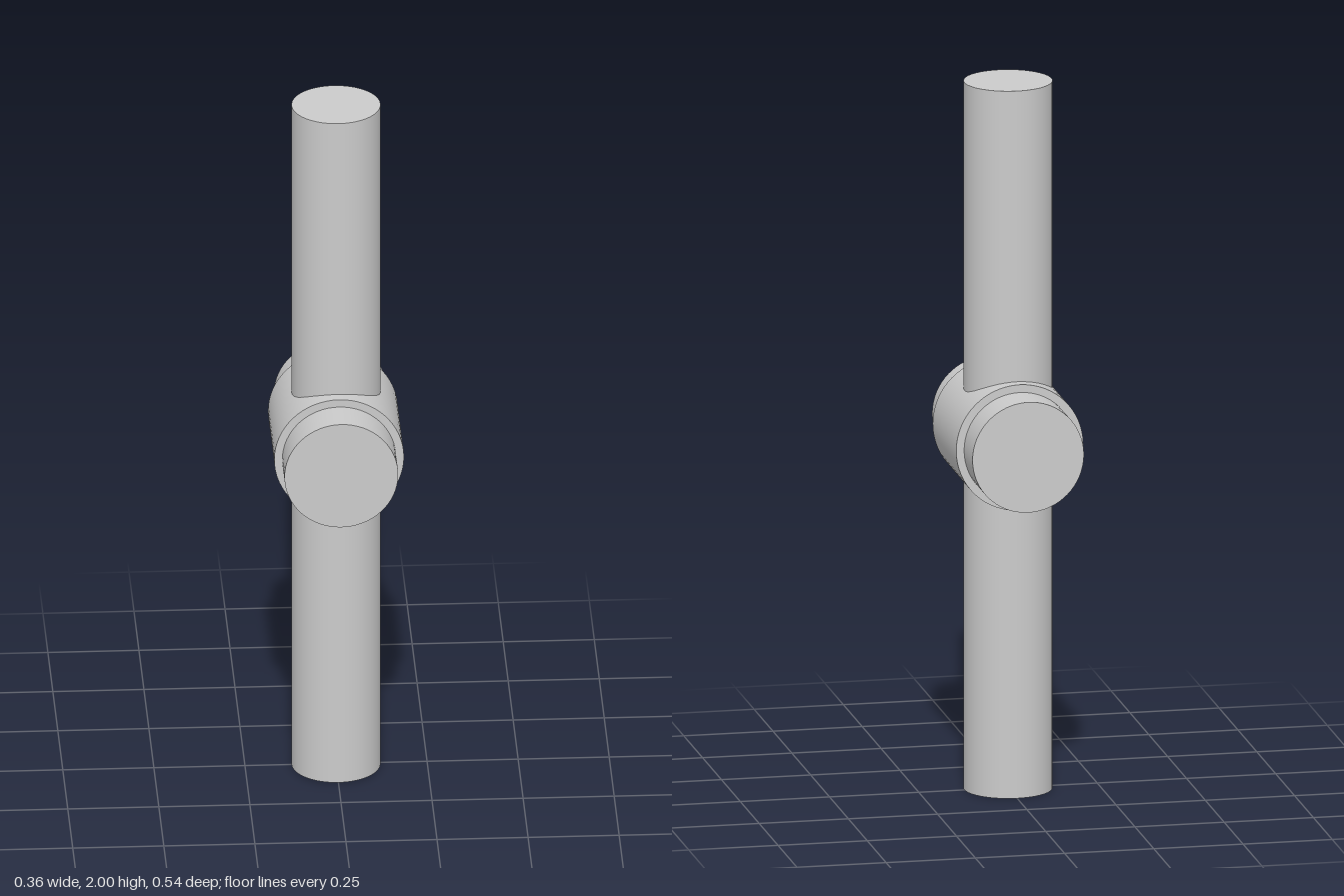
import * as THREE from 'three';

export function createModel() {
  const group = new THREE.Group();
  const material = new THREE.MeshStandardMaterial({ color: 0xcccccc });

  const addCylinder = (name, radius, length, y, z, alongZ) => {
    const geometry = new THREE.CylinderGeometry(radius, radius, length, 64);
    if (alongZ) geometry.rotateX(Math.PI / 2);
    const mesh = new THREE.Mesh(geometry, material);
    mesh.name = name;
    mesh.position.set(0, y, z);
    group.add(mesh);
  };

  // Upright rod passing through the hub
  addCylinder('uprightRod', 0.122, 2, 1, 0, false);

  // Horizontal hub sleeve
  addCylinder('hubSleeve', 0.178, 0.312, 1, 0, true);

  // Narrower stubs at the front and back of the sleeve
  for (const [name, side] of [['frontStub', 1], ['backStub', -1]]) {
    addCylinder(name, 0.156, 0.112, 1, side * 0.212, true);
  }

  return group;
}
